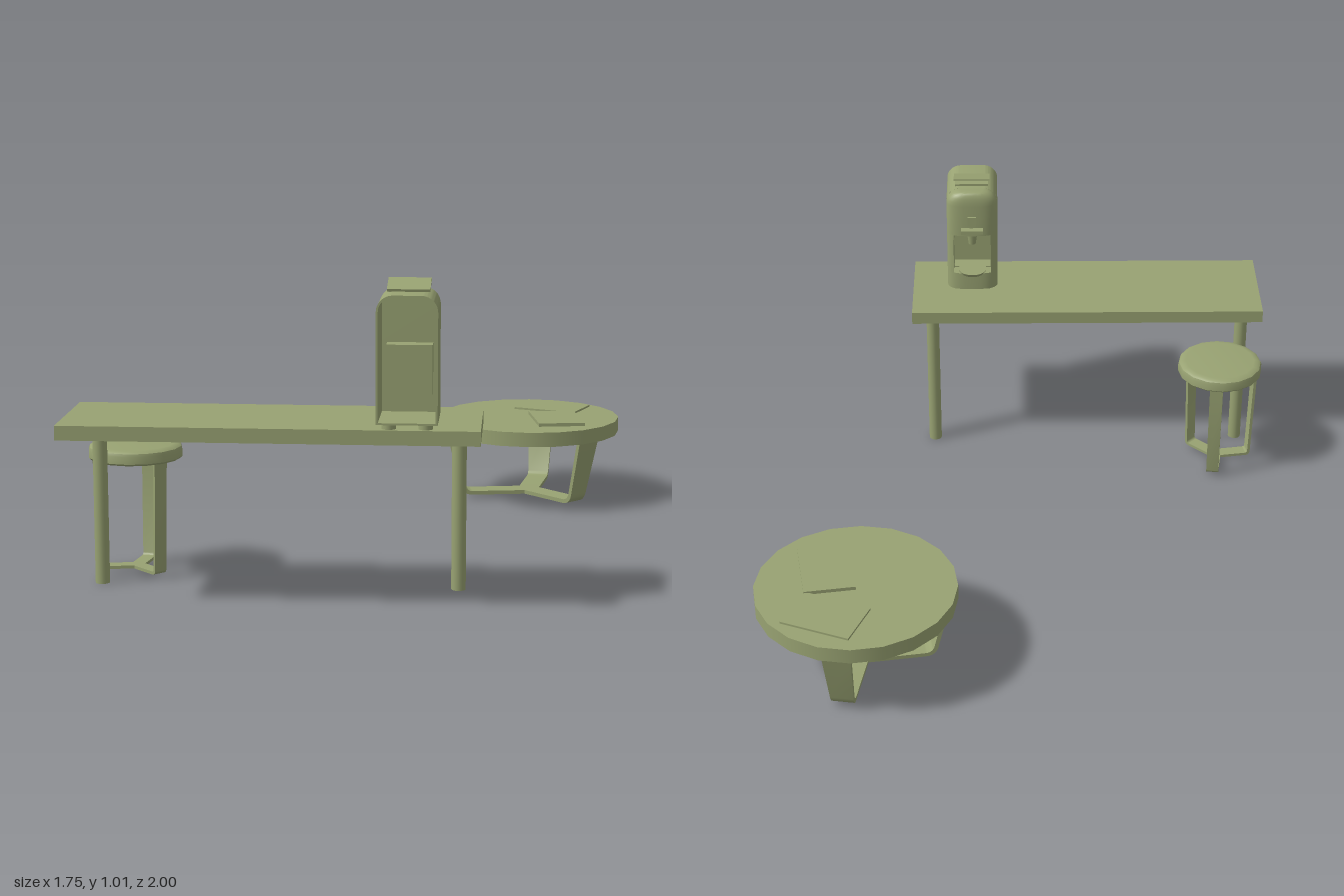
import * as THREE from 'three';
import { toCreasedNormals } from 'three/addons/utils/BufferGeometryUtils.js';

const green = new THREE.MeshStandardMaterial({ color: 0x98a272, side: THREE.DoubleSide });

function add(parent, name, geometry, x = 0, y = 0, z = 0) {
  const mesh = new THREE.Mesh(geometry, green);
  mesh.name = name;
  mesh.position.set(x, y, z);
  parent.add(mesh);
  return mesh;
}

function group(parent, name, x = 0, y = 0, z = 0) {
  const g = new THREE.Group();
  g.name = name;
  g.position.set(x, y, z);
  parent.add(g);
  return g;
}

const box = (w, h, d) => new THREE.BoxGeometry(w, h, d);

// Flat bar running out from the hub along the floor, then bending up to the top
function barLeg({ rTop, rFoot, height, thick, wTop, wFoot, bend }) {
  const y0 = 0.012;
  const at = (y) => rFoot + (rTop - rFoot) * (y - y0) / (height - y0);
  const s = new THREE.Shape();
  s.moveTo(0, y0);
  s.lineTo(rFoot - bend, y0);
  s.quadraticCurveTo(rFoot, y0, at(y0 + bend), y0 + bend);
  s.lineTo(rTop, height);
  s.lineTo(rTop - thick, height);
  s.lineTo(at(y0 + bend) - thick, y0 + bend);
  s.quadraticCurveTo(rFoot - thick, y0 + thick, rFoot - bend, y0 + thick);
  s.lineTo(0, y0 + thick);
  const geo = new THREE.ExtrudeGeometry(s, { depth: 1, bevelEnabled: false, curveSegments: 6 });
  geo.translate(0, 0, -0.5);
  const p = geo.attributes.position;
  for (let i = 0; i < p.count; i++) {
    p.setZ(i, p.getZ(i) * (wFoot + (wTop - wFoot) * p.getY(i) / height));
  }
  return toCreasedNormals(geo, 0.6);
}

function threeLegs(parent, options) {
  const geo = barLeg(options);
  for (const deg of [171, 45, -81]) {
    add(parent, 'leg', geo).rotation.y = -THREE.MathUtils.degToRad(deg);
  }
}

// Skin over rings of [x, y, z] points, closed at both ends
function skin(rings) {
  const n = rings[0].length, index = [];
  for (let r = 0; r < rings.length - 1; r++) {
    for (let i = 0; i < n; i++) {
      const a = r * n + i, b = r * n + (i + 1) % n;
      index.push(a, b, b + n, a, b + n, a + n);
    }
  }
  const top = (rings.length - 1) * n;
  for (let i = 1; i < n - 1; i++) index.push(0, i + 1, i, top, top + i, top + i + 1);
  const geo = new THREE.BufferGeometry();
  geo.setAttribute('position', new THREE.Float32BufferAttribute(rings.flat(2), 3));
  geo.setIndex(index);
  return toCreasedNormals(geo, 0.6);
}

const HALF = 0.092, SEAM = 0.81;

// Rounded nose of the machine, as seen from above
function nose(y, inset = 0, tEnd = Math.PI) {
  const pts = [];
  for (let i = 0; i <= 16; i++) {
    const t = tEnd * i / 16, c = Math.cos(t), s = Math.max(0, Math.sin(t));
    pts.push([
      Math.sign(c) * (HALF - inset) * Math.abs(c) ** 0.7, y,
      SEAM - (0.052 - inset * 0.3) * s ** 0.7,
    ]);
  }
  return pts;
}

// Outline of the machine body: square at the foot, rounded at the top
function arch(half, y0, y1, r) {
  const s = new THREE.Shape();
  s.moveTo(-half, y0);
  s.lineTo(half, y0);
  s.lineTo(half, y1 - r);
  s.absarc(half - r, y1 - r, r, 0, Math.PI / 2);
  s.lineTo(-half + r, y1);
  s.absarc(-half + r, y1 - r, r, Math.PI / 2, Math.PI);
  s.closePath();
  return s;
}

function buildCoffeeMachine(parent) {
  const m = group(parent, 'coffeeMachine', 0.18, 0, 0);

  // Shell, open at the rear
  const outline = arch(HALF, 0.59, 0.978, 0.05);
  outline.holes.push(arch(HALF - 0.006, 0.596, 0.972, 0.044));
  const shell = new THREE.ExtrudeGeometry(outline, { depth: 1 - SEAM, bevelEnabled: false, curveSegments: 8 });
  add(m, 'shell', toCreasedNormals(shell, 0.5), 0, 0, SEAM);

  // Nose: base, two pillars and a domed head around the niche
  add(m, 'noseBase', skin([nose(0.59), nose(0.655)]));
  const head = [nose(0.81), nose(0.928)];
  for (let i = 1; i <= 5; i++) {
    const a = Math.PI / 2 * i / 5;
    head.push(nose(0.928 + 0.05 * Math.sin(a), 0.05 * (1 - Math.cos(a))));
  }
  add(m, 'noseHead', skin(head));
  const tEnd = Math.acos((0.068 / HALF) ** (1 / 0.7));
  const pillarRing = (y) => [...nose(y, 0, tEnd), [0.068, y, SEAM]];
  const pillar = skin([pillarRing(0.655), pillarRing(0.81)]);
  add(m, 'pillarLeft', pillar);
  add(m, 'pillarRight', pillar).scale.x = -1;

  // Niche lining
  add(m, 'nicheBack', box(0.14, 0.155, 0.004), 0, 0.7325, 0.86);
  for (const s of [-1, 1]) {
    add(m, 'nicheSide', box(0.004, 0.155, 0.052), s * 0.068, 0.7325, 0.835);
    add(m, 'nicheShelf', box(0.14, 0.004, 0.052), 0, 0.7325 + s * 0.0755, 0.835);
  }

  // Spout, handle bar and drip tray
  add(m, 'spout', new THREE.CylinderGeometry(0.02, 0.013, 0.05, 16), 0, 0.79, 0.79);
  add(m, 'handleBar', box(0.08, 0.014, 0.035), 0, 0.836, 0.752);
  add(m, 'button', box(0.03, 0.035, 0.012), 0, 0.872, 0.755);
  add(m, 'dripTray', new THREE.CylinderGeometry(0.052, 0.045, 0.012, 20), 0, 0.655, 0.787);

  // Tilted lid flap on a low plinth
  add(m, 'lidPlinth', box(0.12, 0.008, 0.08), 0, 0.981, 0.87);
  add(m, 'lid', box(0.13, 0.008, 0.095), 0, 0.994, 0.868).rotation.x = 0.26;

  for (const x of [-0.055, 0.055]) {
    for (const z of [0.968, 0.812]) {
      add(m, 'foot', new THREE.CylinderGeometry(0.022, 0.022, 0.018, 16), x, 0.583, z);
    }
  }
}

export function createModel() {
  const model = new THREE.Group();
  model.name = 'cafeFurniture';

  // Counter on two posts
  const counter = group(model, 'counter');
  add(counter, 'counterTop', box(1.28, 0.045, 0.39), -0.24, 0.5515, 0.805);
  for (const x of [-0.808, 0.327]) {
    add(counter, 'counterPost', new THREE.CylinderGeometry(0.023, 0.023, 0.53, 20), x, 0.265, 0.668);
  }

  buildCoffeeMachine(model);

  // Stool with a rounded cushion
  const stool = group(model, 'stool', -0.722, 0, 0.515);
  const rim = [[0, 0.378], [0.146, 0.378], [0.152, 0.384], [0.152, 0.408], [0.149, 0.417], [0.14, 0.423], [0.125, 0.425], [0, 0.425]];
  const seat = new THREE.LatheGeometry(rim.map(([x, y]) => new THREE.Vector2(x, y)), 16);
  add(stool, 'seat', toCreasedNormals(seat, 0.6));
  threeLegs(stool, { rTop: 0.138, rFoot: 0.128, height: 0.38, thick: 0.01, wTop: 0.047, wFoot: 0.044, bend: 0.018 });

  // Round low table
  const table = group(model, 'roundTable', 0.545, 0, -0.67);
  add(table, 'tableTop', new THREE.CylinderGeometry(0.33, 0.33, 0.052, 20), 0, 0.276, 0);
  threeLegs(table, { rTop: 0.307, rFoot: 0.25, height: 0.252, thick: 0.014, wTop: 0.095, wFoot: 0.073, bend: 0.035 });

  // Magazines lying on the table
  add(table, 'magazineTop', box(0.168, 0.012, 0.238), 0.1, 0.308, 0.083).rotation.y = 0.16;
  add(table, 'magazineUnder', box(0.238, 0.007, 0.168), 0.087, 0.3055, -0.16).rotation.y = -0.38;

  return model;
}
